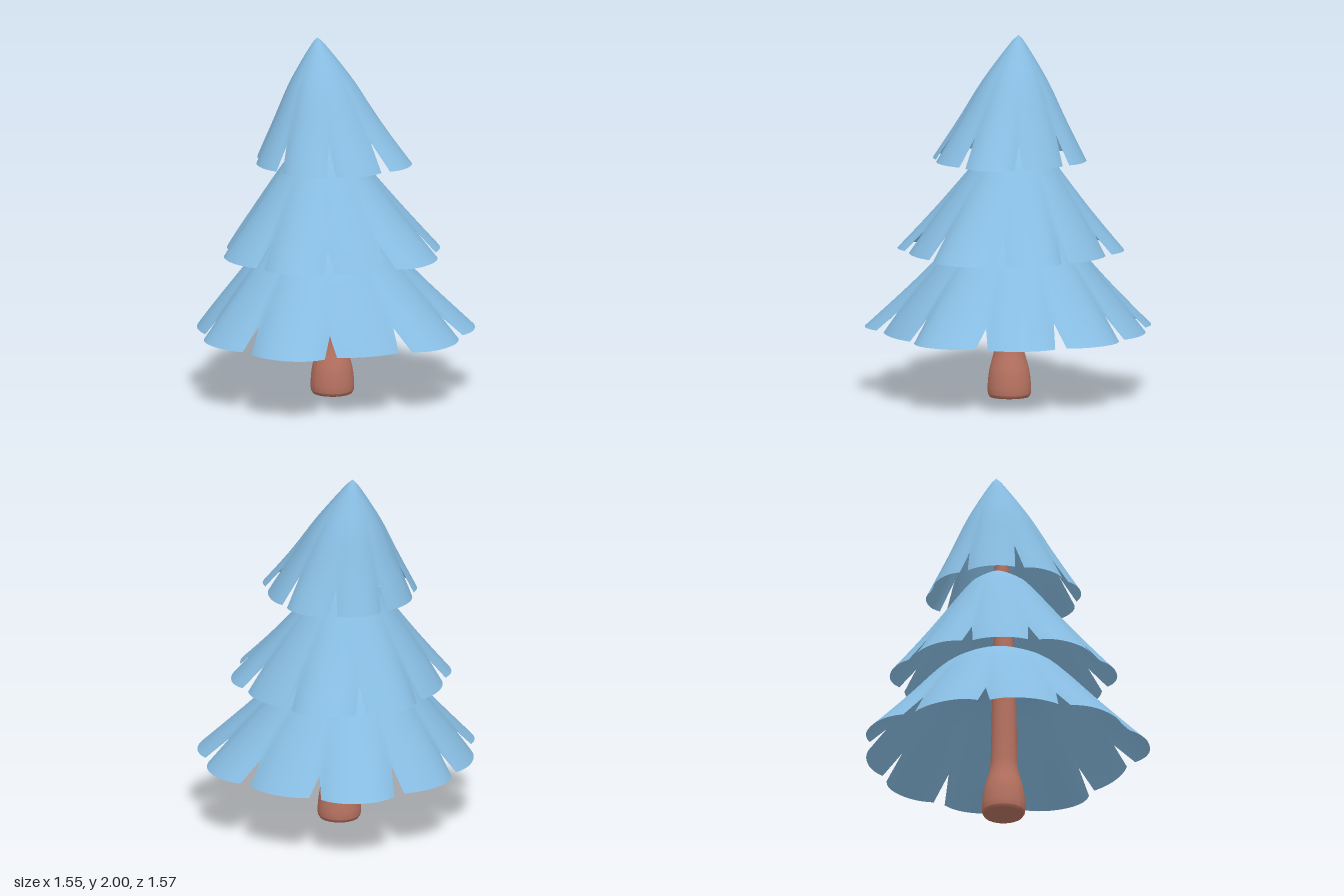
import * as THREE from 'three';

const needles = new THREE.MeshStandardMaterial({ color: 0x87bce1, side: THREE.DoubleSide });
needles.name = 'blue needles';
const bark = new THREE.MeshStandardMaterial({ color: 0xb87361 });
bark.name = 'brown bark';

const ROWS = 18, COLS = 13;

// Each tier: profile [radius, y] from top to rim, sideways lean of its top,
// notch angles in degrees, radius of the lobe that follows each notch.
const tiers = [
  {
    name: 'lowerBranches', lean: [-0.05, 0.01], notchTop: 0.83, notchHalf: 2.7,
    profile: [[0.05, 0.97], [0.2, 0.91], [0.35, 0.82], [0.56, 0.6], [0.78, 0.37]],
    notches: [2, 37, 75, 111, 148, 184, 221, 256, 291, 325],
    lobes: [0.71, 0.81, 0.78, 0.73, 0.75, 0.81, 0.76, 0.79, 0.8, 0.8],
  },
  {
    name: 'middleBranches', lean: [-0.06, 0.01], notchTop: 0.81, notchHalf: 3,
    profile: [[0.05, 1.43], [0.12, 1.39], [0.19, 1.33], [0.42, 1.04], [0.61, 0.81]],
    notches: [2, 38, 78, 122, 160, 199, 241, 280, 318],
    lobes: [0.57, 0.63, 0.62, 0.57, 0.61, 0.63, 0.58, 0.61, 0.65],
  },
  {
    name: 'topBranches', lean: [-0.085, 0.02], notchTop: 0.79, notchHalf: 3.6,
    profile: [[0, 2], [0.045, 1.95], [0.18, 1.75], [0.295, 1.54], [0.42, 1.32]],
    notches: [36, 81, 126, 173, 217, 262, 306, 351],
    lobes: [0.43, 0.42, 0.41, 0.42, 0.43, 0.41, 0.47, 0.43],
  },
];

// Hollow skirt of rounded lobes with V-shaped notches cut into the rim
function branchTier({ name, lean, notchTop, notchHalf, profile, notches, lobes }) {
  const curve = new THREE.SplineCurve(profile.map(([r, y]) => new THREE.Vector2(r, y)));
  const rim = profile[profile.length - 1][0];
  const n = notches.length, columns = n * COLS;
  const position = [], index = [];

  for (let i = 0; i < n; i++) {
    const start = notches[i];
    const span = (notches[(i + 1) % n] - start + 360) % 360;
    const cut = notchHalf / span;
    const edge = (k) => 0.46 * (lobes[(k + n) % n] + lobes[(k + n - 1) % n]);
    for (let c = 0; c < COLS; c++) {
      // the first column is the notch tip, the rest spread over the lobe
      const f = c === 0 ? 0 : cut + (1 - 2 * cut) * (c - 1) / (COLS - 2);
      const angle = THREE.MathUtils.degToRad(start + f * span);
      const side = THREE.MathUtils.lerp(edge(i), edge(i + 1), f);
      const bulge = 1 - Math.abs(2 * f - 1) ** 2.4;
      const radius = THREE.MathUtils.lerp(side, lobes[i], bulge);
      const end = c === 0 ? notchTop + 0.025 * Math.sin(i * 2.3) : 1;
      for (let j = 0; j <= ROWS; j++) {
        const t = end * j / ROWS;
        const p = curve.getPointAt(t);
        const r = p.x * (1 + (radius / rim - 1) * t ** 1.6);
        position.push(
          r * Math.cos(angle) + lean[0] * (1 - t),
          p.y,
          r * Math.sin(angle) + lean[1] * (1 - t));
      }
    }
  }
  for (let i = 0; i < columns; i++) {
    for (let j = 0; j < ROWS; j++) {
      const a = i * (ROWS + 1) + j;
      const b = ((i + 1) % columns) * (ROWS + 1) + j;
      index.push(a, b, a + 1, b, b + 1, a + 1);
    }
  }
  const geometry = new THREE.BufferGeometry();
  geometry.setAttribute('position', new THREE.Float32BufferAttribute(position, 3));
  geometry.setIndex(index);
  geometry.computeVertexNormals();
  const mesh = new THREE.Mesh(geometry, needles);
  mesh.name = name;
  return mesh;
}

// Tapering trunk with a swollen foot, running up inside the tiers
function trunk() {
  const outline = new THREE.SplineCurve([
    [0.118, 0.015], [0.12, 0.06], [0.11, 0.15], [0.082, 0.26], [0.073, 0.36],
    [0.066, 0.7], [0.052, 1.1], [0.038, 1.5], [0.02, 1.8],
  ].map(([r, y]) => new THREE.Vector2(r, y))).getPoints(40);
  const points = [new THREE.Vector2(0, 0), new THREE.Vector2(0.108, 0), ...outline, new THREE.Vector2(0, 1.81)];
  const geometry = new THREE.LatheGeometry(points, 28);
  // lean gently toward the treetop
  const pos = geometry.attributes.position;
  for (let i = 0; i < pos.count; i++) {
    const h = pos.getY(i) / 2;
    pos.setX(i, pos.getX(i) + 0.012 - 0.085 * h ** 3);
    pos.setZ(i, pos.getZ(i) - 0.01 + 0.02 * h);
  }
  geometry.computeVertexNormals();
  const mesh = new THREE.Mesh(geometry, bark);
  mesh.name = 'trunk';
  return mesh;
}

export function createModel() {
  const tree = new THREE.Group();
  tree.name = 'tree';
  tree.add(trunk(), ...tiers.map(branchTier));
  return tree;
}
